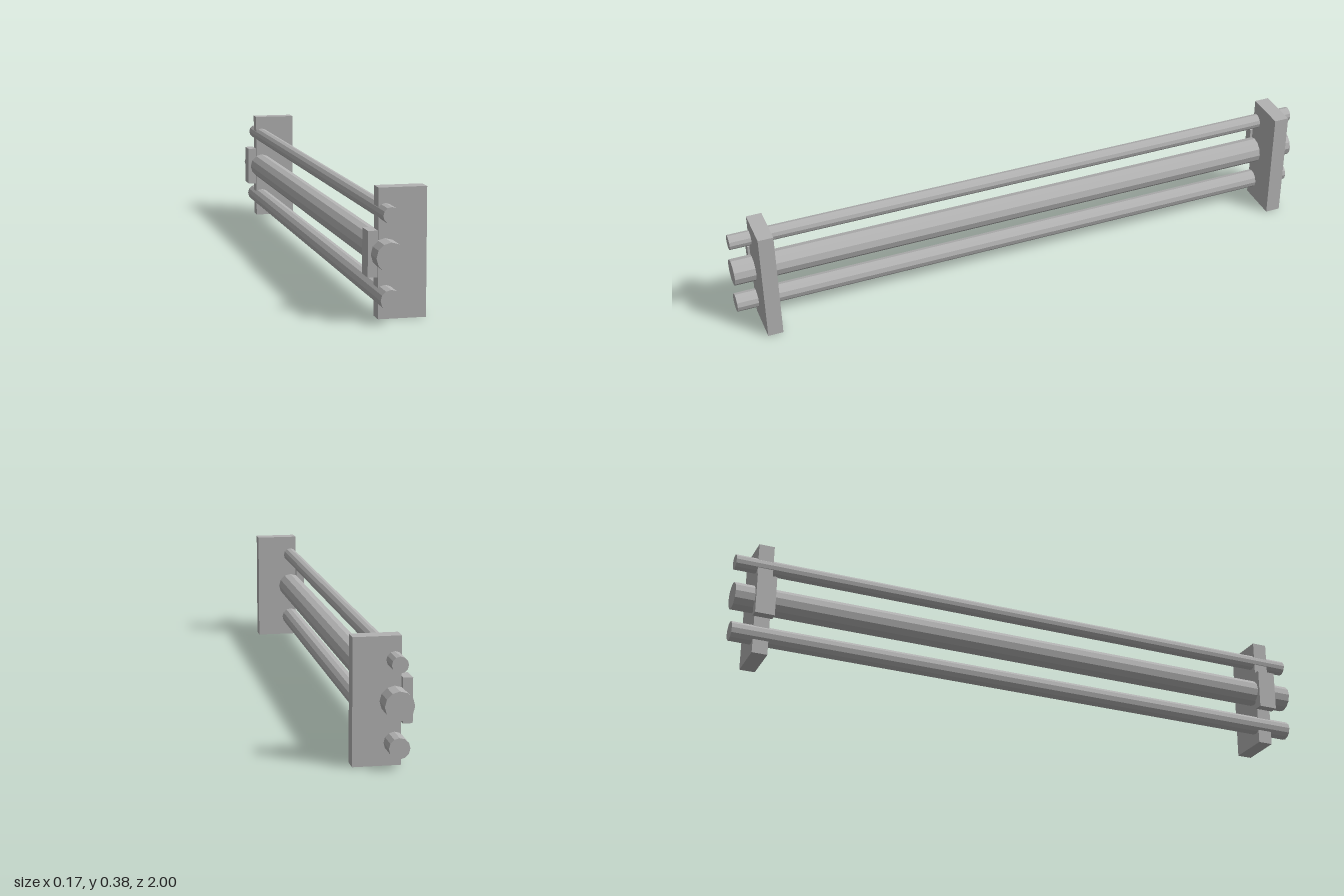
import * as THREE from 'three';

export function createModel() {
  const model = new THREE.Group();
  const grey = new THREE.MeshStandardMaterial({ color: 0xb2b2b2, flatShading: true });
  grey.name = 'plain grey';

  const add = (name, geometry, x, y, z) => {
    const mesh = new THREE.Mesh(geometry, grey);
    mesh.name = name;
    mesh.position.set(x, y, z);
    model.add(mesh);
  };

  // Three parallel pipes running the full length
  const pipes = [
    ['topPipe', 0.0245, 0.309],
    ['middlePipe', 0.0435, 0.19],
    ['bottomPipe', 0.031, 0.068],
  ];
  for (const [name, radius, y] of pipes) {
    const pipe = new THREE.CylinderGeometry(radius, radius, 2, 12).rotateX(Math.PI / 2);
    add(name, pipe, -0.036, y, 0);
  }

  // A bracket plate with a small side block near each end
  for (const [end, z] of [['front', 0.905], ['back', -0.905]]) {
    add(end + 'Bracket', new THREE.BoxGeometry(0.142, 0.378, 0.05), 0.015, 0.189, z);
    add(end + 'SideBlock', new THREE.BoxGeometry(0.029, 0.134, 0.063), -0.0735, 0.19, z);
  }

  return model;
}
